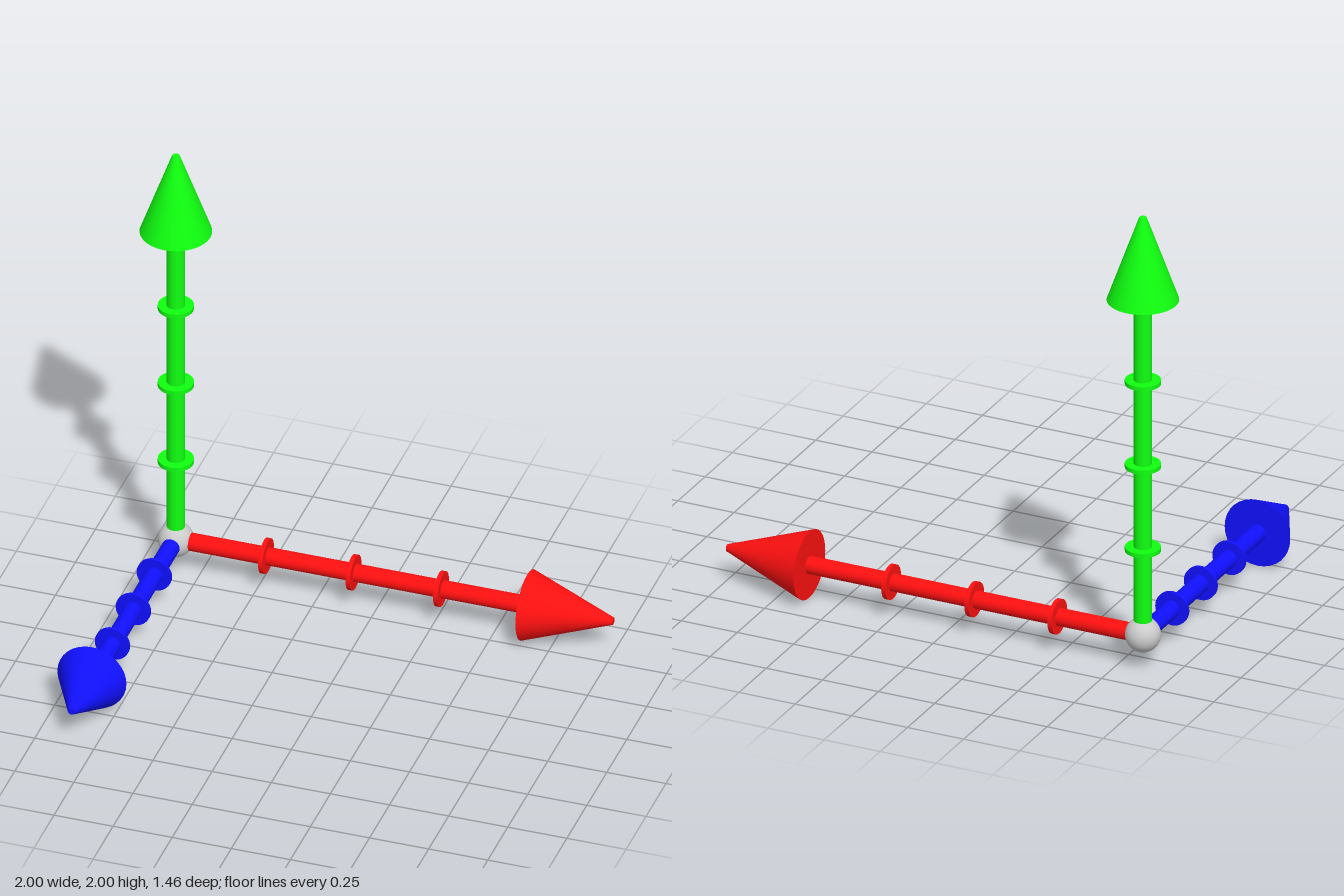
import * as THREE from 'three';

const SHAFT_R = 0.037, RING_R = 0.073, CONE_R = 0.146, TIP_R = 0.015;

// One arrow along +y, starting at the origin; k stretches it lengthwise
function makeArrow(name, color, k) {
  const arrow = new THREE.Group();
  arrow.name = name;
  const material = new THREE.MeshStandardMaterial({ color });
  const add = (part, rTop, rBottom, from, to) => {
    const geometry = new THREE.CylinderGeometry(rTop, rBottom, (to - from) * k, 32);
    const mesh = new THREE.Mesh(geometry, material);
    mesh.name = part;
    mesh.position.y = k * (from + to) / 2;
    arrow.add(mesh);
  };
  add('shaft', SHAFT_R, SHAFT_R, 0, 1.485);
  // Evenly spaced tick rings
  for (let i = 0; i < 3; i++) {
    const y = 0.381 + i * 0.37;
    add('tickRing' + (i + 1), RING_R, RING_R, y - 0.009, y + 0.009);
  }
  add('arrowhead', TIP_R, CONE_R, 1.485, 1.85);
  return arrow;
}

export function createModel() {
  const model = new THREE.Group();
  model.name = 'axisArrows';

  // Ball where the three arrows meet
  const hub = new THREE.Mesh(
    new THREE.SphereGeometry(0.073, 32, 20),
    new THREE.MeshStandardMaterial({ color: 0xcccccc })
  );
  hub.name = 'hub';

  const xArrow = makeArrow('xArrow', 0xff1010, 1);
  xArrow.rotation.z = -Math.PI / 2;
  const yArrow = makeArrow('yArrow', 0x10ff10, 1);
  // The forward arrow is shorter
  const zArrow = makeArrow('zArrow', 0x1010ff, 0.708);
  zArrow.rotation.x = Math.PI / 2;

  const axes = new THREE.Group();
  axes.name = 'axes';
  axes.add(hub, xArrow, yArrow, zArrow);
  axes.position.set(-0.853, 0.151, -0.582);
  model.add(axes);
  return model;
}
